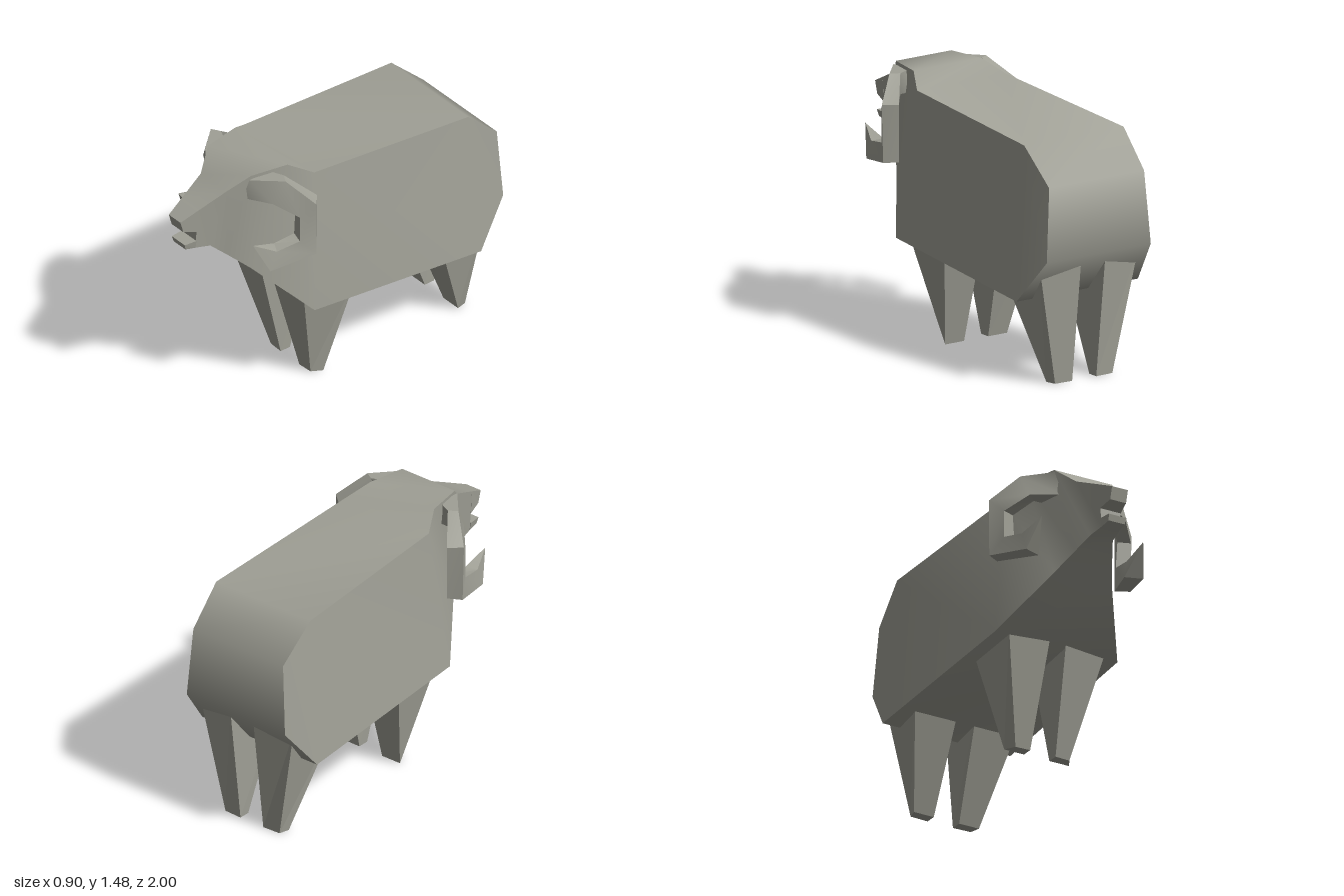
import * as THREE from 'three';
import { toCreasedNormals } from 'three/addons/utils/BufferGeometryUtils.js';

// Skin a row of four-cornered sections, closed at both ends.
// Corners run counter-clockwise when looking back against the row.
function loft(sections, crease = 0, side = 1) {
  const pos = [];
  const rows = sections.map((s) => {
    const r = s.map(([x, y, z]) => [x * side, y, z]);
    return side < 0 ? r.reverse() : r;
  });
  const quad = (a, b, c, d) => pos.push(...a, ...b, ...c, ...a, ...c, ...d);
  for (let i = 0; i < rows.length - 1; i++) {
    const p = rows[i], q = rows[i + 1];
    for (let j = 0; j < 4; j++) {
      const k = (j + 1) % 4;
      quad(p[j], p[k], q[k], q[j]);
    }
  }
  const first = rows[0], last = rows[rows.length - 1];
  quad(first[3], first[2], first[1], first[0]);
  quad(...last);
  const geo = new THREE.BufferGeometry();
  geo.setAttribute('position', new THREE.Float32BufferAttribute(pos, 3));
  geo.computeVertexNormals();
  return crease ? toCreasedNormals(geo, crease) : geo;
}

// Symmetric section: top z, y, half width, then bottom z, y, half width
const slice = ([tz, ty, tw, bz, by, bw]) => [[bw, by, bz], [tw, ty, tz], [-tw, ty, tz], [-bw, by, bz]];

export function createModel() {
  const group = new THREE.Group();
  const stone = new THREE.MeshStandardMaterial({ color: 0xa0a096 });
  stone.name = 'warmGrey';
  const add = (name, geo) => {
    const mesh = new THREE.Mesh(geo, stone);
    mesh.name = name;
    group.add(mesh);
  };

  // Torso running forward into neck and head
  add('bodyAndHead', loft([
    [-0.98, 1.14, 0.315, -1.0, 0.73, 0.345],
    [-0.77, 1.335, 0.33, -0.8, 0.48, 0.403],
    [0.27, 1.405, 0.295, 0.34, 0.58, 0.385],
    [0.4, 1.475, 0.225, 0.62, 0.87, 0.18],
    [0.62, 1.475, 0.185, 0.73, 0.97, 0.115],
    [0.73, 1.38, 0.11, 0.81, 1.04, 0.07],
    [0.9, 1.305, 0.072, 0.9, 1.057, 0.056],
  ].map(slice), 1.0));

  // Jaws either side of the open mouth
  add('upperJaw', loft([
    [0.9, 1.305, 0.072, 0.9, 1.165, 0.065],
    [1.0, 1.26, 0.05, 0.98, 1.19, 0.05],
  ].map(slice)));
  add('lowerJaw', loft([
    [0.9, 1.105, 0.064, 0.9, 1.057, 0.056],
    [0.975, 1.105, 0.056, 0.965, 1.07, 0.05],
  ].map(slice)));

  // Level section from four x, z corners
  const level = (y, corners) => corners.map(([x, z]) => [x, y, z]);
  const frontLeg = [
    level(0, [[0.08, 0.2], [0.17, 0.195], [0.205, 0.135], [0.08, 0.135]]),
    level(0.62, [[0.05, 0.36], [0.305, 0.35], [0.315, -0.01], [0.06, -0.015]]),
  ];
  const rearLeg = [
    level(0, [[0.08, -0.8], [0.205, -0.8], [0.19, -0.86], [0.08, -0.865]]),
    level(0.7, [[0.05, -0.53], [0.36, -0.53], [0.33, -0.91], [0.08, -0.95]]),
  ];

  // Curled horn: inner front, inner back, outer back, outer front
  const tip = [0.32, 1.13, 0.715];
  const horn = [
    [[0.15, 1.325, 0.65], [0.15, 1.325, 0.5], [0.18, 1.455, 0.5], [0.19, 1.455, 0.635]],
    [[0.3, 1.325, 0.56], [0.24, 1.325, 0.5], [0.27, 1.455, 0.46], [0.32, 1.455, 0.49]],
    [[0.4, 1.245, 0.455], [0.33, 1.245, 0.43], [0.38, 1.325, 0.32], [0.45, 1.325, 0.38]],
    [[0.4, 1.09, 0.455], [0.32, 1.09, 0.43], [0.37, 1.0, 0.333], [0.445, 1.0, 0.375]],
    [[0.37, 1.065, 0.59], [0.31, 1.075, 0.56], [0.27, 0.955, 0.6], [0.37, 0.955, 0.635]],
    [tip, tip, tip, tip],
  ];

  for (const [label, side] of [['left', 1], ['right', -1]]) {
    add(label + 'FrontLeg', loft(frontLeg, 0, side));
    add(label + 'RearLeg', loft(rearLeg, 0, side));
    add(label + 'Horn', loft(horn, 0.6, side));
  }
  return group;
}
